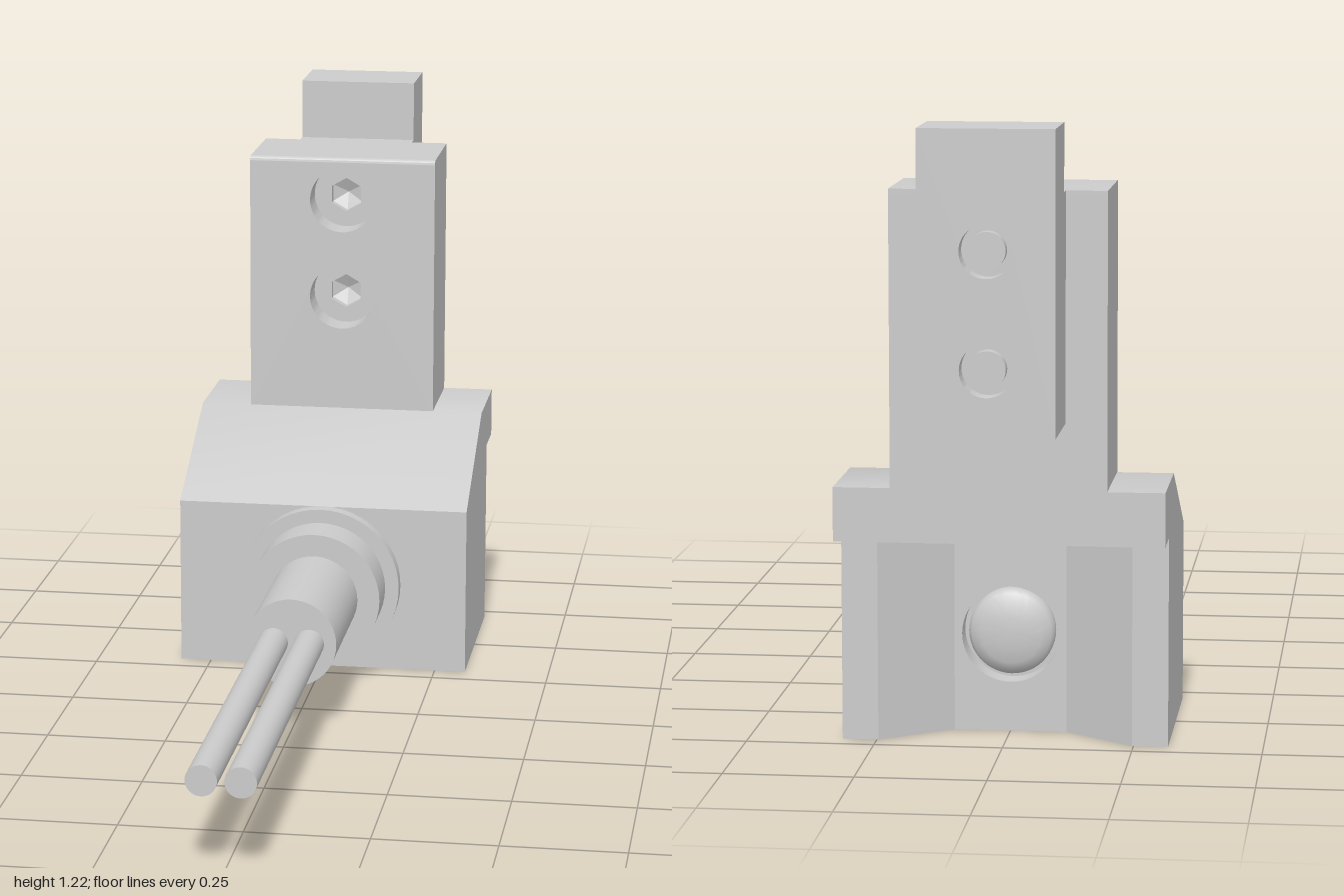
import * as THREE from 'three';
import { toCreasedNormals } from 'three/addons/utils/BufferGeometryUtils.js';

const material = new THREE.MeshStandardMaterial({ color: 0xcccccc });
const openMaterial = new THREE.MeshStandardMaterial({ color: 0xcccccc, side: THREE.DoubleSide, flatShading: true });
const AXIS_Y = 0.193;
const SCREW_YS = [0.99, 0.77];

export function createModel() {
  const model = new THREE.Group();

  const add = (name, geometry, mat = material) => {
    const mesh = new THREE.Mesh(geometry, mat);
    mesh.name = name;
    model.add(mesh);
    return mesh;
  };
  const polygon = (pts) => new THREE.Shape(pts.map(([a, b]) => new THREE.Vector2(a, b)));
  const rect = (x, y0, y1) => polygon([[-x, y0], [x, y0], [x, y1], [-x, y1]]);
  const circle = (y, r) => new THREE.Path().absarc(0, y, r, 0, Math.PI * 2, true);
  const extrude = (shape, depth) =>
    toCreasedNormals(new THREE.ExtrudeGeometry(shape, { depth, bevelEnabled: false, curveSegments: 32 }), 0.5);
  // Outline in x, y with depth from z0 to z1
  const alongZ = (shape, z0, z1) => extrude(shape, z1 - z0).translate(0, 0, z0);
  // Outline in z, y spanning x = -half..half
  const alongX = (shape, half) => extrude(shape, half * 2).translate(0, 0, -half).rotateY(-Math.PI / 2);
  const box = (name, half, y0, y1, z0, z1) =>
    add(name, new THREE.BoxGeometry(half * 2, y1 - y0, z1 - z0).translate(0, (y0 + y1) / 2, (z0 + z1) / 2));
  const rod = (name, r, x, y, z0, z1) =>
    add(name, new THREE.CylinderGeometry(r, r, z1 - z0, 48).rotateX(Math.PI / 2).translate(x, y, (z0 + z1) / 2));

  // Base block with sloped shoulder and overhanging ledge
  add('baseBlock', alongX(polygon([
    [-0.3, 0], [-0.3, 0.365], [-0.59, 0.515], [-0.81, 0.515], [-0.81, 0.41], [-0.56, 0.41], [-0.56, 0],
  ]), 0.317));

  // Back of the base: two bevelled posts either side of a recessed wall
  for (const s of [-1, 1]) {
    const plan = polygon([[0.317, 0.56], [0.317, 0.71], [0.247, 0.71], [0.11, 0.61], [0.11, 0.56]]
      .map(([x, d]) => [x * s, d]));
    add(s > 0 ? 'leftBackPost' : 'rightBackPost', extrude(plan, 0.41).rotateX(-Math.PI / 2));
  }
  const wall = rect(0.11, 0, 0.41);
  wall.holes.push(circle(AXIS_Y, 0.095));
  add('recessedBackWall', alongZ(wall, -0.61, -0.56));

  // Domed button inside the back bore
  const dome = [[0.085, 0], [0.085, 0.02], [0.078, 0.031], [0.06, 0.039], [0.03, 0.044], [0, 0.045]]
    .map(([r, y]) => new THREE.Vector2(r, y));
  add('backButton', toCreasedNormals(
    new THREE.LatheGeometry(dome, 48).rotateX(-Math.PI / 2).translate(0, AXIS_Y, -0.56), 0.6));

  // Upright column with counterbored front and rounded top edge
  const front = rect(0.207, 0.515, 1.075);
  SCREW_YS.forEach((y) => front.holes.push(circle(y, 0.072)));
  add('columnFront', alongZ(front, -0.7, -0.59));
  box('columnRear', 0.207, 0.515, 1.075, -0.81, -0.7);
  const cap = polygon([[-0.81, 1.075], [-0.59, 1.075]]);
  cap.quadraticCurveTo(-0.59, 1.085, -0.6, 1.085);
  cap.lineTo(-0.81, 1.085);
  add('columnTop', alongX(cap, 0.207));

  // Tongue and rear jaw
  box('tongue', 0.128, 0.645, 1.085, -0.84, -0.81);
  box('jawBody', 0.128, 0.645, 1.215, -0.96, -0.84);
  const jaw = rect(0.128, 0.645, 1.215);
  SCREW_YS.forEach((y) => jaw.holes.push(circle(y, 0.05)));
  add('jawBack', alongZ(jaw, -1, -0.96));

  // Socket screws: hexagonal heads in front, rod ends at the back
  for (const y of SCREW_YS) {
    const head = new THREE.Shape().absarc(0, y, 0.072, 0, Math.PI * 2, false);
    const hex = Array.from({ length: 6 }, (_, i) => {
      const a = Math.PI / 2 - i * Math.PI / 3;
      return [0.038 * Math.cos(a), y + 0.038 * Math.sin(a)];
    });
    head.holes.push(polygon(hex));
    add('screwHead', alongZ(head, -0.7, -0.66));
    const socket = new THREE.ConeGeometry(0.038, 0.018, 6, 1, true).rotateX(-Math.PI / 2).rotateZ(0);
    add('screwSocketFloor', socket.translate(0, y, -0.689), openMaterial);
    rod('screwEnd', 0.035, 0, y, -0.985, -0.96);
  }

  // Cable gland steps and twin cables
  rod('glandFlange', 0.173, 0, AXIS_Y, -0.305, -0.27);
  rod('glandCollar', 0.143, 0, AXIS_Y, -0.27, -0.175);
  rod('glandSleeve', 0.095, 0, AXIS_Y, -0.175, 0.145);
  for (const s of [-1, 1]) rod(s > 0 ? 'leftCable' : 'rightCable', 0.031, 0.038 * s, AXIS_Y, 0.145, 1);

  return model;
}
